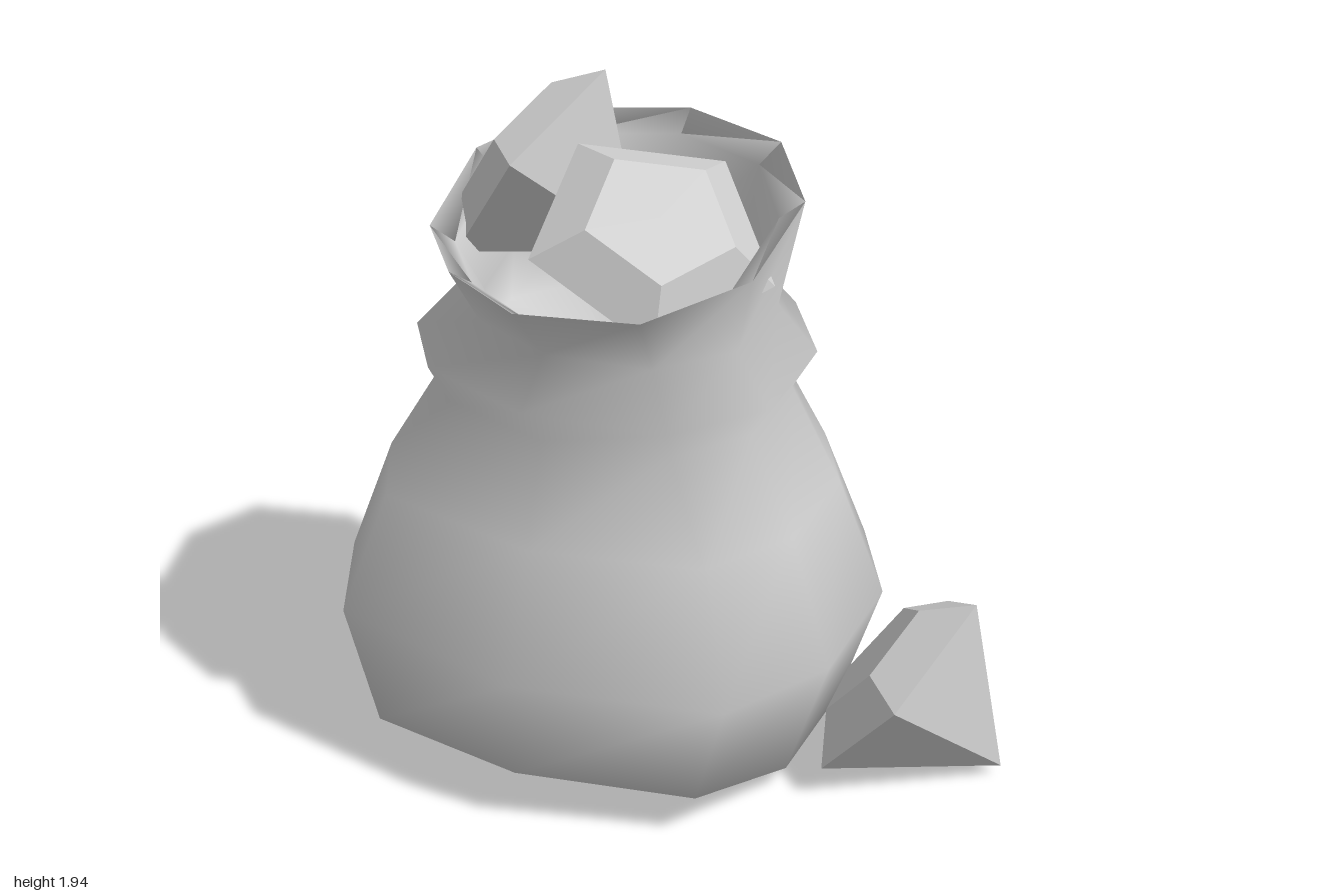
import * as THREE from 'three';

const grey = new THREE.MeshStandardMaterial({ color: 0xcccccc });
const greyFlat = new THREE.MeshStandardMaterial({ color: 0xcccccc, flatShading: true });

// Uneven ten-sided outlines (x, z), scaled to each ring's extent
const bellyOutline = [[.13, -1], [.81, -.77], [1, -.28], [.96, .39], [.71, .85],
  [-.03, 1], [-.79, .76], [-1, .24], [-.92, -.42], [-.62, -.9]];
const rimOutline = [[.06, -1], [.69, -.71], [1, -.16], [.96, .56], [.54, .98],
  [-.12, 1], [-.6, .72], [-.9, .34], [-1, -.43], [-.67, -.91]];

// Rings from the base up the outside, over the rim and down the inside:
// x min, x max, z min, z max, height, rise to +x, rise to +z, rim blend, rise at both z ends
const rings = [
  [-.2, -.2, .05, .05, 0, 0, 0, 0, 0],
  [-.58, .18, -.3, .4, .01, 0, 0, 0, 0],
  [-.89, .44, -.66, .69, .05, -.01, .025, 0, .085],
  [-1, .56, -.71, .71, .45, -.035, 0, 0, 0],
  [-.86, .43, -.55, .58, .81, -.025, -.01, 0, 0],
  [-.71, .29, -.46, .45, 1.09, -.02, -.025, .4, 0],
  [-.78, .36, -.54, .54, 1.215, -.03, -.035, .6, 0],
  [-.64, .25, -.44, .42, 1.34, -.02, -.035, .8, 0],
  [-.71, .33, -.51, .58, 1.61, .015, -.13, 1, 0],
  [-.64, .26, -.44, .51, 1.56, .015, -.12, 1, 0],
  [-.59, .2, -.39, .37, 1.34, -.02, -.035, 1, 0],
  [-.6, .2, -.38, .37, 1.21, 0, 0, 1, 0],
  [-.2, -.2, 0, 0, 1.14, 0, 0, 1, 0],
];

function makeSack() {
  const n = bellyOutline.length, positions = [], index = [];
  rings.forEach(([x0, x1, z0, z1, y, riseX, riseZ, blend, lift], j) => {
    for (let i = 0; i < n; i++) {
      const px = THREE.MathUtils.lerp(bellyOutline[i][0], rimOutline[i][0], blend);
      const pz = THREE.MathUtils.lerp(bellyOutline[i][1], rimOutline[i][1], blend);
      positions.push((x0 + x1) / 2 + px * (x1 - x0) / 2,
        y + px * riseX + pz * riseZ + pz * pz * lift,
        (z0 + z1) / 2 + pz * (z1 - z0) / 2);
      if (j === rings.length - 1) continue;
      const a = j * n + i, b = j * n + (i + 1) % n;
      index.push(b, a, a + n, b, a + n, b + n);
    }
  });
  const geometry = new THREE.BufferGeometry();
  geometry.setAttribute('position', new THREE.Float32BufferAttribute(positions, 3));
  geometry.setIndex(index);
  geometry.computeVertexNormals();
  const sack = new THREE.Mesh(geometry, grey);
  sack.name = 'sack';
  return sack;
}

// Five-sided cut gem: point, girdle, small flat table
const gemGeometry = new THREE.LatheGeometry(
  [[0, -.39], [.348, 0], [.21, .1], [0, .1]].map(p => new THREE.Vector2(...p)), 5);

// table: direction the flat top faces; corner: direction of one girdle corner
function makeGem(name, centre, table, corner) {
  const y = new THREE.Vector3(...table).normalize();
  const x = y.clone().cross(new THREE.Vector3(...corner)).normalize();
  const z = x.clone().cross(y);
  const gem = new THREE.Mesh(gemGeometry, greyFlat);
  gem.name = name;
  gem.quaternion.setFromRotationMatrix(new THREE.Matrix4().makeBasis(x, y, z));
  gem.position.set(...centre);
  return gem;
}

export function createModel() {
  const model = new THREE.Group();
  model.name = 'sackOfGems';
  model.add(
    makeSack(),
    makeGem('looseGem', [.67, .265, .01], [-.8, .6, 0], [.6, .8, 0]),
    makeGem('backGem', [-.47, 1.665, -.1], [-.8, .6, 0], [.6, .8, 0]),
    makeGem('frontGem', [-.02, 1.575, .18], [.4, .78, .48], [-.74, .59, -.33]),
  );
  return model;
}
